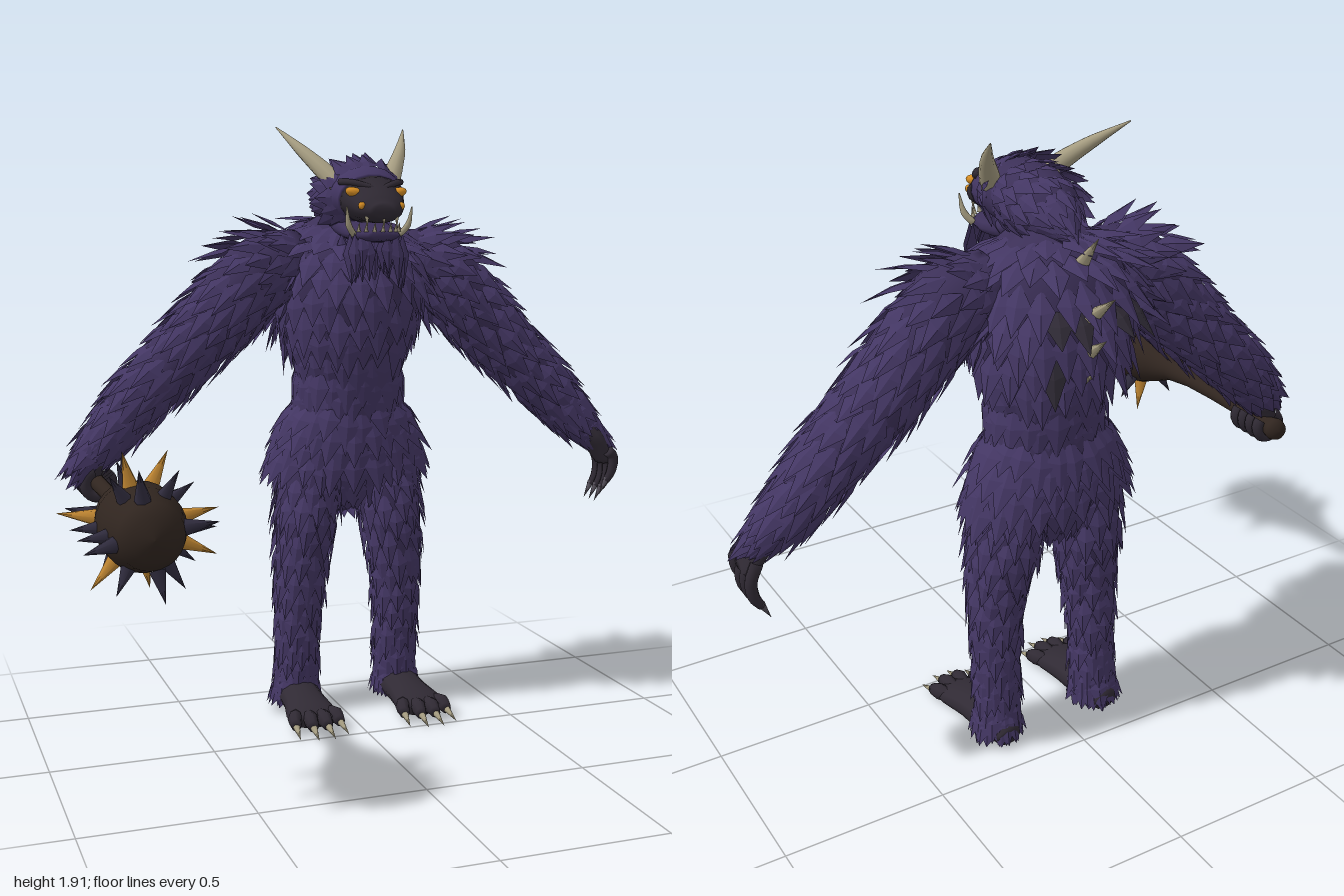
import * as THREE from 'three';

const mat = (name, color, side = THREE.FrontSide) => {
  const m = new THREE.MeshStandardMaterial({ color, side });
  m.name = name;
  return m;
};
const CX = 0.04; // body midline
const V = (x, y, z) => new THREE.Vector3(x, y, z);

export function createModel() {
  const root = new THREE.Group();
  const furMat = mat('purple fur', 0x433663, THREE.DoubleSide);
  const darkFur = mat('charcoal fur', 0x302b36, THREE.DoubleSide);
  const under = mat('purple hide', 0x3c3058);
  const skin = mat('dark skin', 0x302a34);
  const bone = mat('bone', 0xa79e82);
  const eyeMat = mat('orange eye', 0xd88f24);
  const wood = mat('dark wood', 0x30251f);
  const iron = mat('dark spike', 0x302c3e);
  const amber = mat('amber spike', 0xc08632);
  const clawMat = mat('grey claw', 0x55505a);

  let seed = 7;
  const rnd = () => (seed = (seed * 16807) % 2147483647) / 2147483647;

  const add = (name, geo, material, parent = root) => {
    const m = new THREE.Mesh(geo, material);
    m.name = name;
    parent.add(m);
    return m;
  };

  // Elliptical tube surface through stations [x, y, z, ra, rb]; rb lies along ref
  const surface = (st, ref) => {
    const curve = new THREE.CatmullRomCurve3(st.map(s => V(s[0], s[1], s[2])));
    return (u, a) => {
      u = Math.min(Math.max(u, 0), 1);
      const f = u * (st.length - 1), i = Math.min(Math.floor(f), st.length - 2), t = f - i;
      const T = curve.getTangent(u), A = ref.clone().cross(T).normalize(), B = T.clone().cross(A);
      const mix = k => THREE.MathUtils.lerp(st[i][k], st[i + 1][k], t);
      return curve.getPoint(u).addScaledVector(A, mix(3) * Math.cos(a)).addScaledVector(B, mix(4) * Math.sin(a));
    };
  };
  const loft = (P, rings, sides) => {
    const pos = [], idx = [];
    for (let i = 0; i <= rings; i++)
      for (let j = 0; j < sides; j++) pos.push(...P(i / rings, j / sides * Math.PI * 2).toArray());
    for (let i = 0; i < rings; i++)
      for (let j = 0; j < sides; j++) {
        const k = (j + 1) % sides, a = i * sides + j, b = i * sides + k;
        idx.push(a, b, a + sides, b, b + sides, a + sides);
      }
    const last = rings * sides;
    for (let j = 1; j < sides - 1; j++) idx.push(0, j + 1, j, last, last + j, last + j + 1);
    const g = new THREE.BufferGeometry();
    g.setAttribute('position', new THREE.Float32BufferAttribute(pos, 3));
    g.setIndex(idx);
    g.computeVertexNormals();
    return g;
  };
  const Z = V(0, 0, 1), Y = V(0, 1, 0);
  const tube = (name, st, material, ref = Z, rings = 12, sides = 12) =>
    add(name, loft(surface(st, ref), rings, sides), material);

  // A softly ridged leaf-shaped lock of hair, pushed into a list of triangles
  const tuft = (out, P, T, N, len, w, lift) => {
    const S = T.clone().cross(N).normalize();
    const at = (t, s, n) => P.clone().addScaledVector(T, t * len).addScaledVector(S, s * w).addScaledVector(N, n);
    const r = at(0, 0, -0.006), l = at(0.4, -0.5, lift * 0.25), q = at(0.4, 0.5, lift * 0.25);
    const m = at(0.45, 0, 0.007 + lift * 0.4), tip = at(1, 0, lift);
    for (const v of [r, m, l, l, m, tip, tip, m, q, q, m, r]) out.push(v.x, v.y, v.z);
  };
  const furMesh = (name, list, material) => {
    const g = new THREE.BufferGeometry();
    g.setAttribute('position', new THREE.Float32BufferAttribute(list, 3));
    g.computeVertexNormals();
    add(name, g, material);
  };
  // Staggered rows of locks over a tube surface, kept above the ground
  const furred = (name, st, ref, rows, around, len, w, lift, isDark = () => false) => {
    const P = surface(st, ref), light = [], dark = [];
    add(name, loft(P, 20, 20), under);
    for (let i = 0; i < rows; i++)
      for (let j = 0; j < around; j++) {
        const u = Math.min((i + 0.2 + rnd() * 0.4) / rows, 0.975);
        const a = (j + (i % 2) / 2 + (rnd() - 0.5) * 0.4) / around * Math.PI * 2;
        const p = P(u, a), T = P(u + 0.02, a).sub(p).normalize();
        const N = P(u, a + 0.05).sub(p).cross(T).normalize();
        const L = Math.min(len * (0.8 + rnd() * 0.4), T.y < -0.3 ? (p.y - 0.015) / -T.y : len);
        tuft(isDark(p, N) ? dark : light, p, T, N, L, w, lift(p, N, u) * (0.6 + rnd() * 0.8));
      }
    furMesh(name + 'Fur', light, furMat);
    if (dark.length) furMesh(name + 'DarkFur', dark, darkFur);
  };
  const spike = (name, base, tip, r, material, sides = 7) => {
    const d = tip.clone().sub(base);
    const m = add(name, new THREE.ConeGeometry(r, d.length(), sides), material);
    m.position.copy(base).addScaledVector(d, 0.5);
    m.quaternion.setFromUnitVectors(Y, d.normalize());
  };

  // Torso, with shaggier hair on the upper back
  furred('torso', [
    [CX, 1.63, -0.29, 0.09, 0.09], [CX, 1.55, -0.3, 0.21, 0.185], [CX, 1.44, -0.3, 0.252, 0.225],
    [CX, 1.3, -0.302, 0.228, 0.21], [CX, 1.17, -0.305, 0.178, 0.165], [CX, 1.06, -0.308, 0.172, 0.142],
    [CX, 0.96, -0.315, 0.22, 0.15], [CX, 0.87, -0.32, 0.25, 0.148], [CX, 0.78, -0.32, 0.17, 0.11], [CX, 0.73, -0.32, 0.05, 0.05]],
  Z, 18, 24, 0.14, 0.078,
  (p, N) => (N.z < -0.2 && p.y > 1.25 ? 0.055 : 0.022),
  (p, N) => N.z < -0.3 && p.y > 1.3 && Math.abs(p.x - CX) < 0.17 && rnd() < 0.2);

  for (const s of [1, -1]) {
    const side = s > 0 ? 'left' : 'right';
    const X = o => CX + s * o;
    // Arm, with raised locks over the shoulder
    furred(side + 'Arm', [
      [X(0.16), 1.51, -0.29, 0.08, 0.1], [X(0.28), 1.46, -0.285, 0.12, 0.12], [X(0.4), 1.35, -0.285, 0.116, 0.115],
      [X(0.53), 1.22, -0.29, 0.105, 0.11], [X(0.68), 1.08, -0.29, 0.09, 0.098], [X(0.79), 0.96, -0.275, 0.066, 0.08],
      [X(0.84), 0.91, -0.26, 0.045, 0.055]],
    Z, 17, 13, 0.135, 0.066, (p, N, u) => (u < 0.22 && N.y > 0.3 ? 0.05 : 0.024));
    // Leg
    furred(side + 'Leg', [
      [X(0.12), 0.88, -0.32, 0.1, 0.13], [X(0.14), 0.7, -0.312, 0.1, 0.126], [X(0.163), 0.5, -0.308, 0.08, 0.084],
      [X(0.172), 0.3, -0.32, 0.066, 0.062], [X(0.175), 0.15, -0.33, 0.062, 0.056], [X(0.178), 0.07, -0.335, 0.066, 0.063]],
    Z, 16, 12, 0.13, 0.06, () => 0.02);
    // Foot, toes and claws
    tube(side + 'Foot', [
      [X(0.178), 0.04, -0.41, 0.04, 0.035], [X(0.178), 0.055, -0.34, 0.068, 0.054], [X(0.18), 0.046, -0.22, 0.07, 0.045],
      [X(0.184), 0.036, -0.13, 0.085, 0.035], [X(0.184), 0.028, -0.08, 0.07, 0.022]], skin, Y);
    for (let i = 0; i < 4; i++) {
      const k = (i - 1.5) / 1.5, x = o => X(0.184 + k * o), z = -0.03 - k * k * 0.03;
      tube(side + 'Toe', [[x(0.05), 0.035, -0.14, 0.02, 0.022], [x(0.068), 0.038, z - 0.035, 0.024, 0.028],
        [x(0.074), 0.025, z, 0.015, 0.018]], skin, Y, 6, 8);
      spike(side + 'ToeClaw', V(x(0.073), 0.027, z - 0.01), V(x(0.08), 0.005, z + 0.065), 0.013, bone);
    }
    // Horn
    tube(side + 'Horn', [
      [X(0.085), 1.72, -0.15, 0.032, 0.032], [X(0.12), 1.77, -0.2, 0.028, 0.028], [X(0.165), 1.83, -0.27, 0.019, 0.019],
      [X(0.216), 1.905, -0.375, 0.002, 0.002]], bone, Y, 10, 10);
    // Eyes, brow and tusk
    const eye = add(side + 'Eye', new THREE.SphereGeometry(0.026, 12, 8), eyeMat);
    eye.position.set(X(0.07), 1.697, -0.037);
    eye.scale.set(1.15, 0.6, 0.8);
    eye.rotation.z = s * 0.25;
    const lower = add(side + 'LowerEye', new THREE.SphereGeometry(0.012, 8, 6), eyeMat);
    lower.position.set(X(0.063), 1.657, 0.012);
    tube(side + 'Brow', [[X(0.015), 1.708, -0.02, 0.01, 0.01], [X(0.065), 1.726, -0.048, 0.014, 0.01],
      [X(0.1), 1.73, -0.09, 0.01, 0.01]], skin, Y, 6, 8);
    tube(side + 'Tusk', [[X(0.074), 1.57, -0.03, 0.01, 0.01], [X(0.096), 1.6, -0.015, 0.01, 0.01],
      [X(0.105), 1.655, -0.005, 0.002, 0.002]], bone, Z, 6, 8);
  }

  // Head: furry skull, hide-covered cheeks, bare muzzle and lower jaw
  furred('skull', [
    [CX, 1.69, -0.08, 0.098, 0.075], [CX, 1.69, -0.15, 0.114, 0.092], [CX, 1.685, -0.23, 0.115, 0.094], [CX, 1.67, -0.31, 0.1, 0.088],
    [CX, 1.65, -0.37, 0.05, 0.05]], Y, 7, 15, 0.12, 0.06, (p, N) => (N.y > 0 ? 0.024 : 0.015));
  const face = [[CX, 1.69, -0.18, 0.114, 0.09], [CX, 1.69, -0.12, 0.116, 0.09], [CX, 1.676, -0.075, 0.105, 0.076]];
  tube('cheeks', face, furMat, Y, 8, 18);
  tube('muzzle', [face[2], [CX, 1.665, -0.045, 0.094, 0.063],
    [CX, 1.645, 0.01, 0.073, 0.042], [CX, 1.64, 0.045, 0.035, 0.02]], skin, Y, 10, 18);
  tube('lowerJaw', [
    [CX, 1.6, -0.22, 0.09, 0.05], [CX, 1.575, -0.09, 0.09, 0.03], [CX, 1.568, -0.01, 0.07, 0.02],
    [CX, 1.568, 0.022, 0.035, 0.014]], under, Y, 10, 14);
  for (let i = 0; i < 7; i++) {
    const a = (i - 3) * 0.34, x = CX + 0.076 * Math.sin(a), z = -0.055 + 0.078 * Math.cos(a);
    spike('lowerTooth', V(x, 1.58, z), V(x, 1.61, z + 0.008), 0.007, bone, 5);
    if (i % 2) spike('upperTooth', V(x, 1.625, z + 0.01), V(x, 1.59, z + 0.012), 0.007, bone, 5);
  }

  // Beard and hanging locks between the legs
  const beard = [];
  for (let i = 0; i < 40; i++) {
    const x = (rnd() - 0.5) * 0.17, z = -0.14 + rnd() * 0.15;
    tuft(beard, V(CX + x, 1.575, z), V(-x * 0.4, -1, 0).normalize(), V(x * 4, 0, 1).normalize(), 0.11 + rnd() * 0.08, 0.046, 0.01);
  }
  furMesh('beard', beard, furMat);
  const groin = [];
  for (let i = 0; i < 14; i++) {
    const a = i / 14 * Math.PI * 2, N = V(Math.cos(a), 0, Math.sin(a));
    tuft(groin, V(CX + N.x * 0.05, 0.82, -0.32 + N.z * 0.09), V(-N.x * 0.3, -1, 0).normalize(), N, 0.11, 0.05, 0.01);
  }
  furMesh('groinFur', groin, furMat);

  // Spines down the back
  for (const [y, z, ty, tz] of [[1.55, -0.46, 1.67, -0.56], [1.43, -0.52, 1.53, -0.645], [1.31, -0.5, 1.4, -0.61], [1.21, -0.45, 1.28, -0.56]])
    spike('backSpine', V(CX, y, z), V(CX, ty, tz), 0.026, bone, 8);

  // Open left hand with hanging, curled fingers
  tube('leftPalm', [[CX + 0.82, 0.93, -0.255, 0.04, 0.05], [CX + 0.87, 0.87, -0.245, 0.036, 0.064],
    [CX + 0.915, 0.79, -0.24, 0.022, 0.058]], skin);
  for (let i = 0; i < 4; i++) {
    const z = -0.185 - i * 0.037, d = i === 0 ? 0.03 : 0;
    tube('leftFinger', [[CX + 0.9, 0.83, z, 0.019, 0.018], [CX + 0.92, 0.78 + d, z, 0.019, 0.018],
      [CX + 0.915, 0.73 + d, z, 0.017, 0.016], [CX + 0.895, 0.695 + d, z, 0.012, 0.012]], skin, Z, 8, 8);
    spike('leftFingerClaw', V(CX + 0.898, 0.705 + d, z), V(CX + 0.87, 0.65 + d, z), 0.012, clawMat);
  }

  // Right fist around the club handle
  const hx = -0.797, hy = 0.818;
  tube('rightPalm', [[-0.77, 0.93, -0.262, 0.04, 0.052], [-0.8, 0.88, -0.268, 0.04, 0.065], [-0.815, 0.835, -0.268, 0.03, 0.06]], skin);
  for (let i = 0; i < 4; i++) {
    const f = add('rightFinger', new THREE.TorusGeometry(0.04, 0.019, 8, 16, Math.PI * 1.6), skin);
    f.position.set(hx, hy, -0.215 - i * 0.036);
    f.rotation.z = Math.PI * 0.6;
  }

  // Spiked club
  const profile = [[0, -0.385], [0.028, -0.38], [0.036, -0.36], [0.028, -0.325], [0.024, -0.2], [0.024, -0.05], [0.028, 0.08],
    [0.042, 0.18], [0.073, 0.25], [0.102, 0.32], [0.117, 0.41], [0.114, 0.5], [0.09, 0.585], [0.06, 0.625], [0, 0.635]];
  const club = add('club', new THREE.LatheGeometry(profile.map(p => new THREE.Vector2(...p)), 24), wood);
  club.position.set(hx, hy, 0);
  club.rotation.x = Math.PI / 2;
  const clubSpike = (name, z, deg, L, r, material) => {
    const d = V(Math.cos(deg * Math.PI / 180), Math.sin(deg * Math.PI / 180), (z - 0.42) * 2.4);
    const base = V(hx + d.x * 0.095, hy + d.y * 0.095, z);
    spike(name, base, base.clone().addScaledVector(d.normalize(), L), r, material);
  };
  for (const [z, deg] of [[0.46, 12], [0.45, 103], [0.36, 62], [0.36, 172], [0.46, 228], [0.34, 283], [0.48, 338]])
    clubSpike('amberSpike', z, deg, 0.115, 0.025, amber);
  [[0.33, 5, 25], [0.43, 5, 36], [0.52, 6, 62], [0.57, 4, 10]].forEach(([z, n, turn]) => {
    for (let i = 0; i < n; i++) clubSpike('darkSpike', z, turn + i * 360 / n, 0.09, 0.023, iron);
  });
  return root;
}
